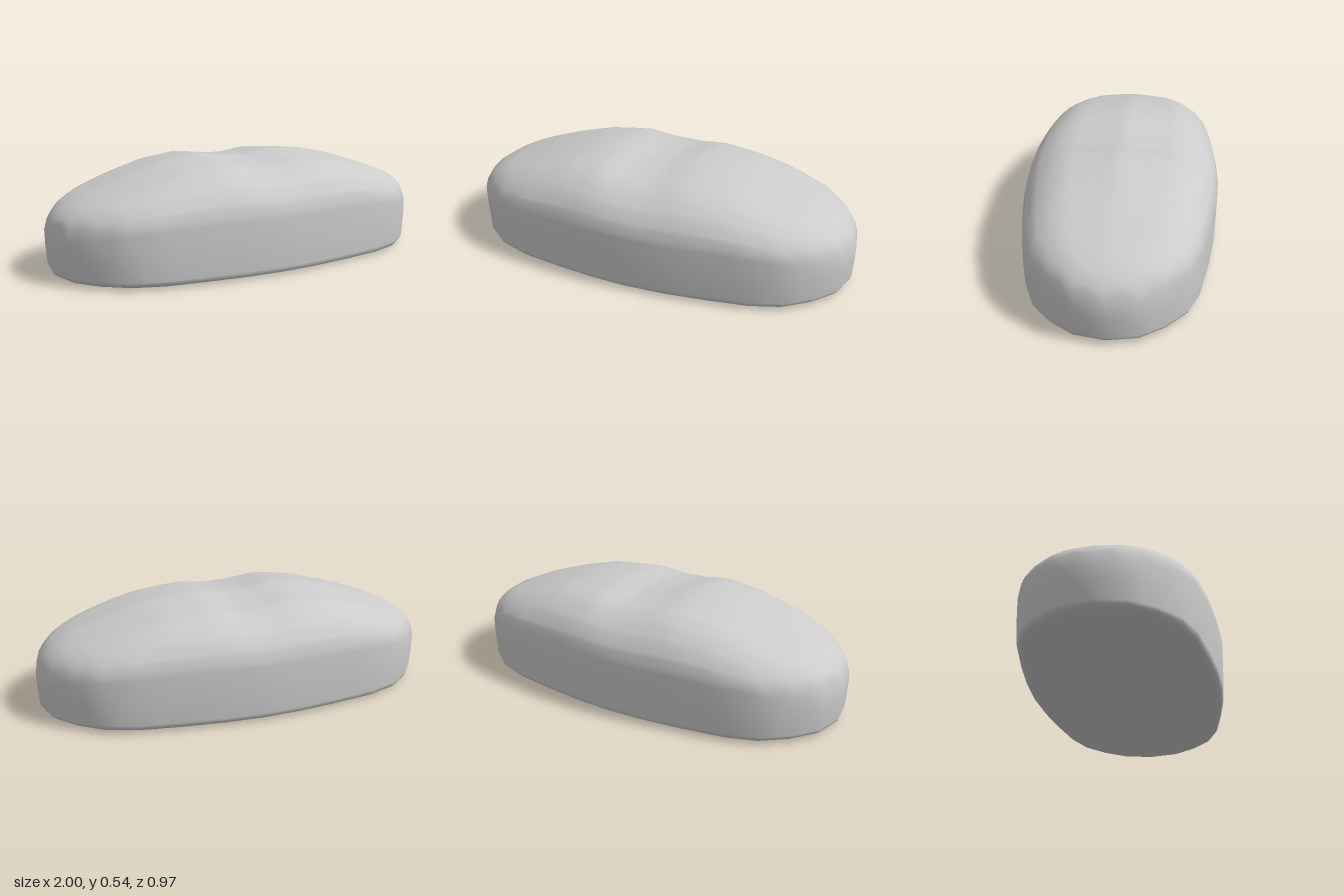
import * as THREE from 'three';
import { mergeVertices } from 'three/addons/utils/BufferGeometryUtils.js';

// piecewise linear lookup in a list of [position, value]
function lookup(points, t) {
  for (let i = 1; i < points.length; i++) {
    const [a, u] = points[i - 1], [b, v] = points[i];
    if (t <= b) return u + (v - u) * Math.max(0, (t - a) / (b - a));
  }
  return points[points.length - 1][1];
}

// half width of the plan against |x|
const plan = [[0, 0.485], [0.2, 0.475], [0.4, 0.451], [0.62, 0.415], [0.77, 0.36], [0.885, 0.265], [0.97, 0.15], [1, 0]];
// height of the ridge along x
const ridge = [[-1, 0.2], [-0.985, 0.265], [-0.95, 0.315], [-0.9, 0.352], [-0.82, 0.39], [-0.6, 0.465], [-0.4, 0.52],
  [-0.22, 0.541], [-0.08, 0.515], [0.06, 0.509], [0.2, 0.531], [0.43, 0.51], [0.62, 0.458], [0.82, 0.39],
  [0.9, 0.352], [0.95, 0.31], [0.985, 0.255], [1, 0.2]];
// fall of the crown from the ridge (1) to the rim (0) across the width
const crown = [[0, 1], [0.06, 0.995], [0.56, 0.885], [0.72, 0.765], [0.87, 0.55], [0.965, 0.29], [1, 0]];

const rimHeight = x => 0.28 - 0.08 * x ** 4;

function topHeight(x, z) {
  const width = Math.max(lookup(plan, Math.abs(x)), 1e-4);
  const rim = rimHeight(x);
  return rim + (lookup(ridge, x) - rim) * lookup(crown, Math.min(1, Math.abs(z) / width));
}

// closed plan outline, two steps per plan segment, mirrored into four quarters
function planOutline() {
  const quarter = [];
  for (let i = plan.length - 1; i > 0; i--) {
    const [x0, z0] = plan[i], [x1, z1] = plan[i - 1];
    quarter.push([x0, z0], [(x0 + x1) / 2, (z0 + z1) / 2]);
  }
  const half = [...quarter, plan[0], ...quarter.slice(1).reverse().map(([x, z]) => [-x, z])];
  return [...half, ...half.map(([x, z]) => [-x, -z])];
}

function loafGeometry() {
  const outline = planOutline();
  const n = outline.length;
  const position = [], index = [];
  let rings = 0;
  const addRing = (scale, height) => {
    for (const [x, z] of outline) position.push(x * scale, height(x * scale, z * scale), z * scale);
    rings++;
  };

  // domed top, from the centre out to the rim
  for (const r of [0, 0.06, 0.14, 0.21, 0.3, 0.4, 0.5, 0.57, 0.64, 0.72, 0.79, 0.84, 0.88, 0.92, 0.95, 0.97, 0.986, 1]) addRing(r, topHeight);
  // wall, rounded lower edge and underside
  for (const [r, y] of [[0.998, 0.14], [0.99, 0.04], [0.983, 0.026], [0.965, 0.014], [0.93, 0.009], [0.5, 0.004], [0, 0]]) addRing(r, () => y);

  for (let i = 0; i < rings - 1; i++) {
    for (let j = 0; j < n; j++) {
      const k = (j + 1) % n;
      const a = i * n + j, b = i * n + k, c = a + n, d = b + n;
      if (i > 0) index.push(a, b, c);
      if (i < rings - 2) index.push(b, d, c);
    }
  }
  const geometry = new THREE.BufferGeometry();
  geometry.setAttribute('position', new THREE.Float32BufferAttribute(position, 3));
  geometry.setIndex(index);
  const merged = mergeVertices(geometry, 1e-5);
  merged.computeVertexNormals();
  return merged;
}

export function createModel() {
  const group = new THREE.Group();
  group.name = 'loaf';
  const body = new THREE.Mesh(loafGeometry(), new THREE.MeshStandardMaterial({ color: 0xcccccc }));
  body.name = 'loafBody';
  group.add(body);
  return group;
}
